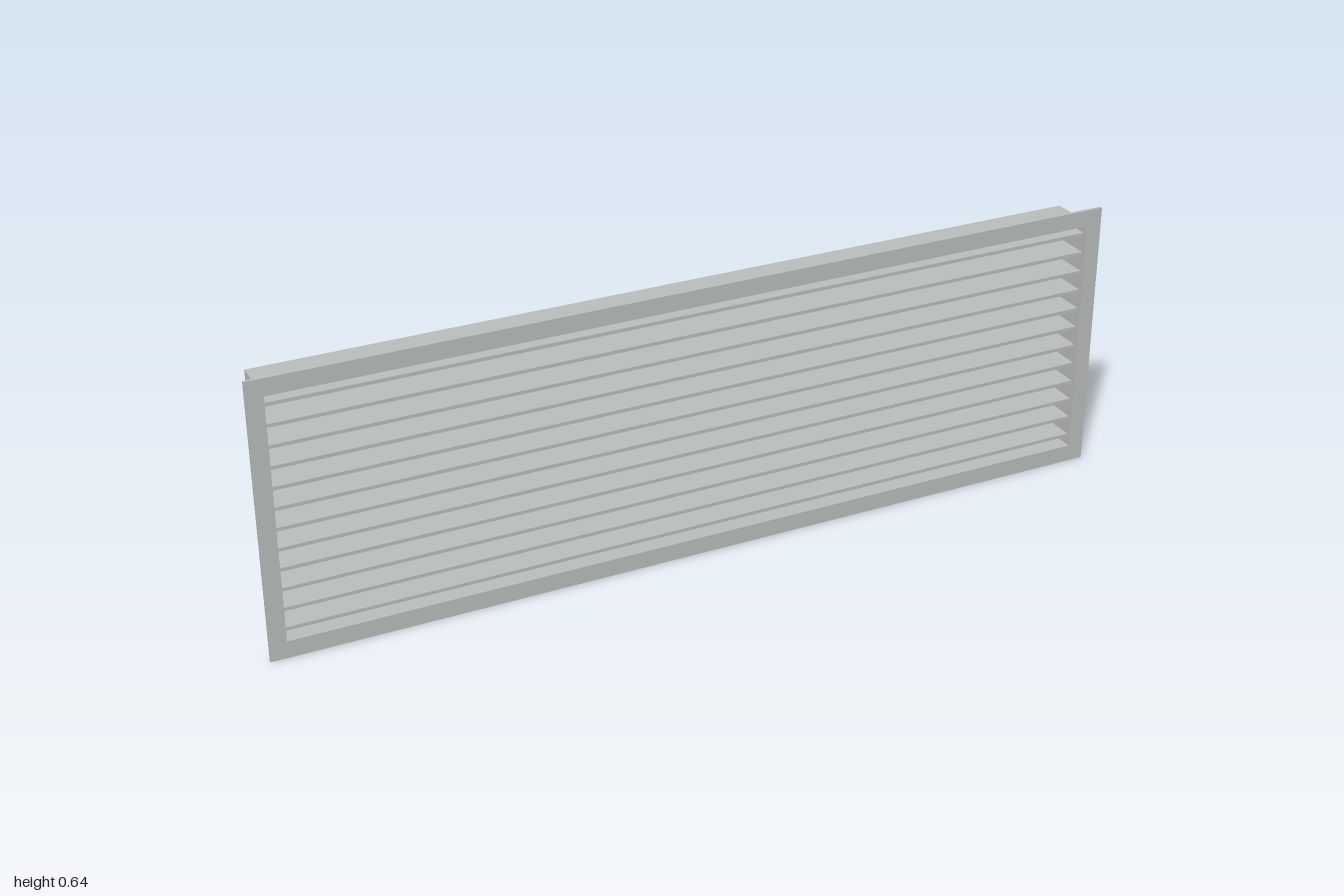
import * as THREE from 'three';

// Rectangular ring: outer half-width and y range, with a rectangular hole, from z0 to z1
function ring(outer, inner, z0, z1) {
  const trace = (path, [hw, y0, y1]) =>
    path.moveTo(-hw, y0).lineTo(hw, y0).lineTo(hw, y1).lineTo(-hw, y1).closePath();
  const shape = new THREE.Shape();
  trace(shape, outer);
  const hole = new THREE.Path();
  trace(hole, inner);
  shape.holes.push(hole);
  const geometry = new THREE.ExtrudeGeometry(shape, { depth: z1 - z0, bevelEnabled: false });
  return geometry.translate(0, 0, z0);
}

export function createModel() {
  const aluminium = new THREE.MeshStandardMaterial({ color: 0xb9bdbc });
  aluminium.name = 'aluminium';
  const black = new THREE.MeshStandardMaterial({ color: 0x2e2e2e });
  black.name = 'black mesh';

  const group = new THREE.Group();
  group.name = 'ventGrille';
  const add = (name, geometry, material) => {
    const mesh = new THREE.Mesh(geometry, material);
    mesh.name = name;
    group.add(mesh);
    return mesh;
  };

  const opening = [0.962, 0.04, 0.602];

  // Front flange and the duct collar behind it
  add('flange', ring([1, 0, 0.641], opening, 0.055, 0.062), aluminium);
  add('collar', ring([0.966, 0.032, 0.61], opening, -0.054, 0.055), aluminium);

  // Horizontal louvre blades, evenly spaced in the opening
  const count = 12;
  const pitch = (opening[2] - opening[1]) / count;
  const bladeGeometry = new THREE.BoxGeometry(opening[0] * 2, 0.008, 0.1);
  for (let i = 0; i < count; i++) {
    const blade = add(`blade${i + 1}`, bladeGeometry, aluminium);
    blade.position.set(0, opening[1] + (i + 0.5) * pitch, 0.002);
  }

  // Dark backing panel, set just clear of the collar
  const panel = add('backPanel', new THREE.BoxGeometry(1.924, 0.562, 0.004), black);
  panel.position.set(0, 0.321, -0.06);

  return group;
}
